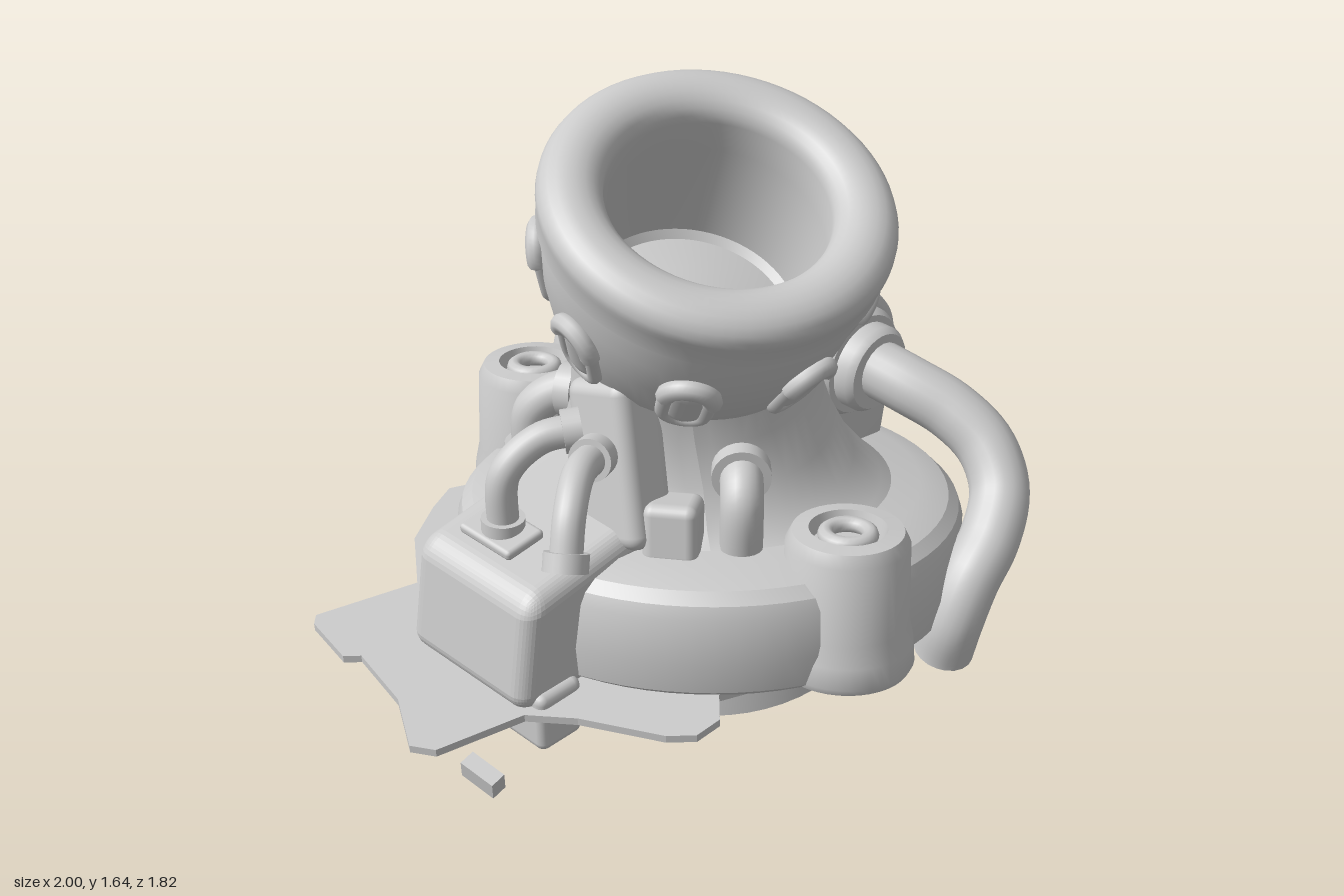
import * as THREE from 'three';
import { toCreasedNormals } from 'three/addons/utils/BufferGeometryUtils.js';
import { RoundedBoxGeometry } from 'three/addons/geometries/RoundedBoxGeometry.js';

const V = (x, y, z) => new THREE.Vector3(x, y, z);
const mat = new THREE.MeshStandardMaterial({ color: 0xcccccc, side: THREE.DoubleSide });

function add(parent, name, geo, pos = [0, 0, 0], rot = [0, 0, 0]) {
  const m = new THREE.Mesh(geo, mat);
  m.name = name;
  m.position.set(...pos);
  m.rotation.set(...rot);
  parent.add(m);
  return m;
}

function group(parent, name, pos = [0, 0, 0], rot = [0, 0, 0]) {
  const g = new THREE.Group();
  g.name = name;
  g.position.set(...pos);
  g.rotation.set(...rot);
  parent.add(g);
  return g;
}

const lathe = (pts, seg = 64, crease = 0.6) =>
  toCreasedNormals(new THREE.LatheGeometry(pts.map(p => new THREE.Vector2(p[0], p[1])), seg), crease);

const pipe = (pts, r, seg = 48) =>
  new THREE.TubeGeometry(new THREE.CatmullRomCurve3(pts.map(p => V(...p))), seg, r, 20);

// Surface through tilted circles: each ring is [centre, normal, radius]
function loft(rings, seg = 48) {
  const pos = [], idx = [];
  rings.forEach(([c, n, r], j) => {
    const q = new THREE.Quaternion().setFromUnitVectors(V(0, 1, 0), V(...n).normalize());
    for (let i = 0; i <= seg; i++) {
      const a = i / seg * Math.PI * 2;
      const p = V(Math.sin(a) * r, 0, Math.cos(a) * r).applyQuaternion(q).add(V(...c));
      pos.push(p.x, p.y, p.z);
      if (j && i) {
        const b = j * (seg + 1) + i, d = b - seg - 1;
        idx.push(d - 1, d, b, d - 1, b, b - 1);
      }
    }
  });
  const g = new THREE.BufferGeometry();
  g.setAttribute('position', new THREE.Float32BufferAttribute(pos, 3));
  g.setIndex(idx);
  g.computeVertexNormals();
  return g;
}

// Closed upright stadium loop
class Stadium extends THREE.Curve {
  constructor(w, h) { super(); this.w = w; this.h = h; }
  getPoint(t, out = V()) {
    const a = t * Math.PI * 2, s = Math.sin(a);
    return out.set(Math.cos(a) * this.w, s * this.w + Math.tanh(s * 6) * this.h, 0);
  }
}

export function createModel() {
  const root = new THREE.Group();
  root.name = 'cannonTurret';

  // Tilted round base with a sloping wedge under its front half
  const base = group(root, 'base', [0.105, 0.119, -0.07], [-0.165, 0, 0]);
  add(base, 'baseRing', lathe([[0, 0], [0.6, 0], [0.67, 0.005], [0.705, 0.03], [0.725, 0.12], [0.722, 0.25],
    [0.71, 0.285], [0.68, 0.315], [0.6, 0.345], [0, 0.36]], 72, 0.4));
  const wedge = new THREE.CylinderGeometry(0.52, 0.52, 0.02, 32, 1, false, -Math.PI / 2, Math.PI);
  const wp = wedge.attributes.position;
  for (let i = 0; i < wp.count; i++) wp.setY(i, wp.getY(i) < 0 ? -0.38 * wp.getZ(i) : 0.01);
  add(base, 'undersideWedge', toCreasedNormals(wedge, 0.5), [0, 0, -0.09]);

  // Neck bending forward into the barrel
  const axis = V(0.16, 0.92, 0.34).normalize();
  add(root, 'neck', loft([
    [[0.10, 0.42, -0.10], [0, 1, -0.15], 0.58], [[0.10, 0.49, -0.10], [0, 1, -0.1], 0.49],
    [[0.09, 0.57, -0.10], [0, 1, 0], 0.42], [[0.08, 0.70, -0.10], [0.05, 1, 0.08], 0.37],
    [[0.06, 0.86, -0.10], [0.1, 1, 0.2], 0.34], [[0.05, 1.05, -0.07], axis.toArray(), 0.335]]));

  // Barrel head: collar, thick rounded rim and deep bore
  const barrel = group(root, 'barrel', [0.115, 1.412, 0.072]);
  barrel.quaternion.setFromUnitVectors(V(0, 1, 0), axis);
  const profile = [[0.32, -0.46], [0.335, -0.43], [0.37, -0.42], [0.385, -0.39], [0.42, -0.28], [0.437, -0.18],
    [0.438, -0.11], [0.462, -0.085]];
  for (let i = 0; i <= 12; i++) {
    const a = -0.4 + i / 12 * (Math.PI + 0.4);
    profile.push([0.385 + Math.cos(a) * 0.087, Math.sin(a) * 0.07]);
  }
  profile.push([0.303, -0.1], [0.30, -0.42], [0.28, -0.44], [0.15, -0.41], [0, -0.4]);
  add(barrel, 'collarAndRim', lathe(profile, 72));

  // Eight clips around the collar
  for (let i = 0; i < 8; i++) {
    const turn = group(barrel, 'clip', [0, 0, 0], [0, i * Math.PI / 4 - 0.05, 0]);
    const clip = group(turn, 'clipBody', [0, -0.31, 0.408], [0.3, 0, 0]);
    add(clip, 'clipLoop', new THREE.TubeGeometry(new Stadium(0.056, 0.05), 40, 0.022, 10, true));
    add(clip, 'clipPad', new THREE.CapsuleGeometry(0.05, 0.1, 6, 16)).scale.z = 0.5;
    add(clip, 'clipCap', new THREE.TorusGeometry(0.06, 0.027, 10, 20, Math.PI), [0, 0.05, 0.008]);
  }

  // Rear grip on the neck
  const grip = add(root, 'neckGrip', new THREE.CapsuleGeometry(0.038, 0.24, 6, 16), [-0.145, 0.93, -0.35]);
  grip.rotation.set(0, Math.PI * 0.19, Math.PI / 2);

  // Pump housing with stepped couplings on both sides
  const pump = group(root, 'pump', [0.43, 0.72, -0.42], [0, Math.PI / 4, 0]);
  const arch = new THREE.Shape();
  arch.moveTo(-0.17, -0.42);
  arch.lineTo(0.12, -0.42);
  arch.lineTo(0.18, -0.06);
  arch.absarc(0, 0, 0.175, 0, Math.PI, false);
  arch.closePath();
  const housing = new THREE.ExtrudeGeometry(arch, { depth: 0.18, bevelSize: 0.03, bevelThickness: 0.03, bevelSegments: 2, curveSegments: 20 });
  housing.translate(0, 0, -0.09);
  add(pump, 'pumpHousing', toCreasedNormals(housing, 0.5));
  for (const s of [1, -1]) {
    add(pump, 'coupling', lathe([[0.165, 0], [0.165, 0.14], [0.15, 0.165], [0.13, 0.165], [0.13, 0.205],
      [0.115, 0.225], [0, 0.225]], 32, 0.9), [0, 0, 0], [s * Math.PI / 2, 0, 0]);
  }

  // Large pipes
  add(root, 'frontPipe', pipe([[0.56, 0.73, -0.29], [0.67, 0.70, -0.22], [0.79, 0.65, -0.16], [0.88, 0.58, -0.09],
    [0.915, 0.49, 0], [0.88, 0.40, 0.11], [0.82, 0.32, 0.19], [0.78, 0.21, 0.225], [0.76, 0.09, 0.21]], 0.085));
  add(root, 'rearPipe', pipe([[0.29, 0.72, -0.56], [0.21, 0.72, -0.69], [0.12, 0.715, -0.79], [0.02, 0.71, -0.83],
    [-0.12, 0.70, -0.81], [-0.24, 0.64, -0.78], [-0.29, 0.52, -0.77], [-0.3, 0.38, -0.74]], 0.08));

  // Two canisters on opposite sides of the base
  for (const [x, y, z] of [[0.46, 0.2, 0.43], [-0.415, 0.18, -0.475]]) {
    const can = group(root, 'canister', [x, y, z], [-0.13, 0, 0]);
    add(can, 'canisterBody', lathe([[0, 0.02], [0.18, 0.02], [0.19, 0.04], [0.185, 0.1], [0.173, 0.16], [0.167, 0.385],
      [0.15, 0.42], [0.105, 0.425], [0.095, 0.38], [0, 0.38]], 40));
    add(can, 'canisterValve', new THREE.TorusGeometry(0.06, 0.022, 10, 28), [0, 0.405, 0], [Math.PI / 2, 0, 0]);
  }

  // Small hoses, each with a ring near both ends
  const hoses = [
    [[0.18, 0.7, 0.18], [0.18, 0.72, 0.28], [0.18, 0.68, 0.34], [0.18, 0.5, 0.35]],
    [[-0.2, 0.68, -0.18], [-0.31, 0.68, -0.23], [-0.4, 0.61, -0.24], [-0.41, 0.46, -0.24]],
    [[-0.24, 0.87, 0.28], [-0.35, 0.85, 0.3], [-0.44, 0.77, 0.34], [-0.45, 0.6, 0.35]],
    [[-0.2, 0.84, 0.36], [-0.24, 0.86, 0.48], [-0.26, 0.81, 0.59], [-0.27, 0.7, 0.66]]];
  hoses.forEach((pts, i) => {
    const r = i < 2 ? 0.058 : 0.043;
    const curve = new THREE.CatmullRomCurve3(pts.map(p => V(...p)));
    add(root, 'hose', pipe(pts, r, 28));
    for (const t of [i < 2 ? 0.25 : 0.06, 0.97]) {
      const ring = add(root, 'hoseRing', new THREE.CylinderGeometry(r * 1.38, r * 1.38, 0.05, 24), curve.getPointAt(t).toArray());
      ring.quaternion.setFromUnitVectors(V(0, 1, 0), curve.getTangentAt(t));
    }
  });

  // Rounded equipment box on the front right corner, its top narrowing
  const box = group(root, 'equipmentBox', [-0.37, 0, 0.31], [0, -Math.PI / 4, 0]);
  const shell = new RoundedBoxGeometry(0.5, 0.39, 0.6, 4, 0.055);
  const sp = shell.attributes.position;
  for (let i = 0; i < sp.count; i++) {
    const y = sp.getY(i), z = sp.getZ(i), up = Math.max(0, y);
    const k = y < -0.1 ? 0.94 : 1 - up * 0.5;
    sp.setXYZ(i, sp.getX(i) * k, y - (y > 0 ? 0.15 * z : 0), z > 0 ? z - up * 0.25 : z);
  }
  shell.computeVertexNormals();
  add(box, 'boxShell', shell, [0, 0.4, -0.035]);
  add(box, 'boxFoot', new RoundedBoxGeometry(0.5, 0.18, 0.15, 2, 0.025), [0.01, 0.17, 0.15]);
  add(box, 'hosePlate', new RoundedBoxGeometry(0.2, 0.03, 0.13, 2, 0.012), [-0.03, 0.595, 0.09], [0.12, 0, 0]);

  // Strap from the neck down to the box, with a small block beside it
  add(root, 'strap', new RoundedBoxGeometry(0.22, 0.46, 0.16, 3, 0.04), [-0.14, 0.74, 0.23], [-0.25, -Math.PI / 4, 0.14]);
  add(root, 'strapBlock', new RoundedBoxGeometry(0.15, 0.17, 0.14, 3, 0.03), [0.0, 0.595, 0.34], [-0.2, -0.2, 0]);

  // Thin jagged skirt plate
  const outline = [[-0.62, -0.44], [-0.68, -0.42], [-0.72, -0.32], [-0.76, -0.16], [-0.73, 0.06], [-1, 0.2], [-1, 0.24],
    [-0.9, 0.39], [-0.85, 0.39], [-0.73, 0.58], [-0.68, 0.77], [-0.61, 0.79], [-0.39, 0.66],
    [-0.25, 0.68], [-0.02, 0.76], [0.06, 0.76], [0.12, 0.7], [0.12, 0.6], [0.38, 0.5], [0, 0.4], [-0.4, 0.1]];
  const plate = new THREE.ExtrudeGeometry(new THREE.Shape(outline.map(p => new THREE.Vector2(...p))), { depth: 0.022, bevelEnabled: false });
  plate.rotateX(Math.PI / 2);
  add(root, 'skirtPlate', plate, [0, 0.238, 0], [0, 0, 0.035]);

  // Loose chip beside the plate
  add(root, 'chip', new THREE.BoxGeometry(0.11, 0.055, 0.045), [-0.485, 0.19, 0.855], [0.25, -0.7, 0]);

  return root;
}
